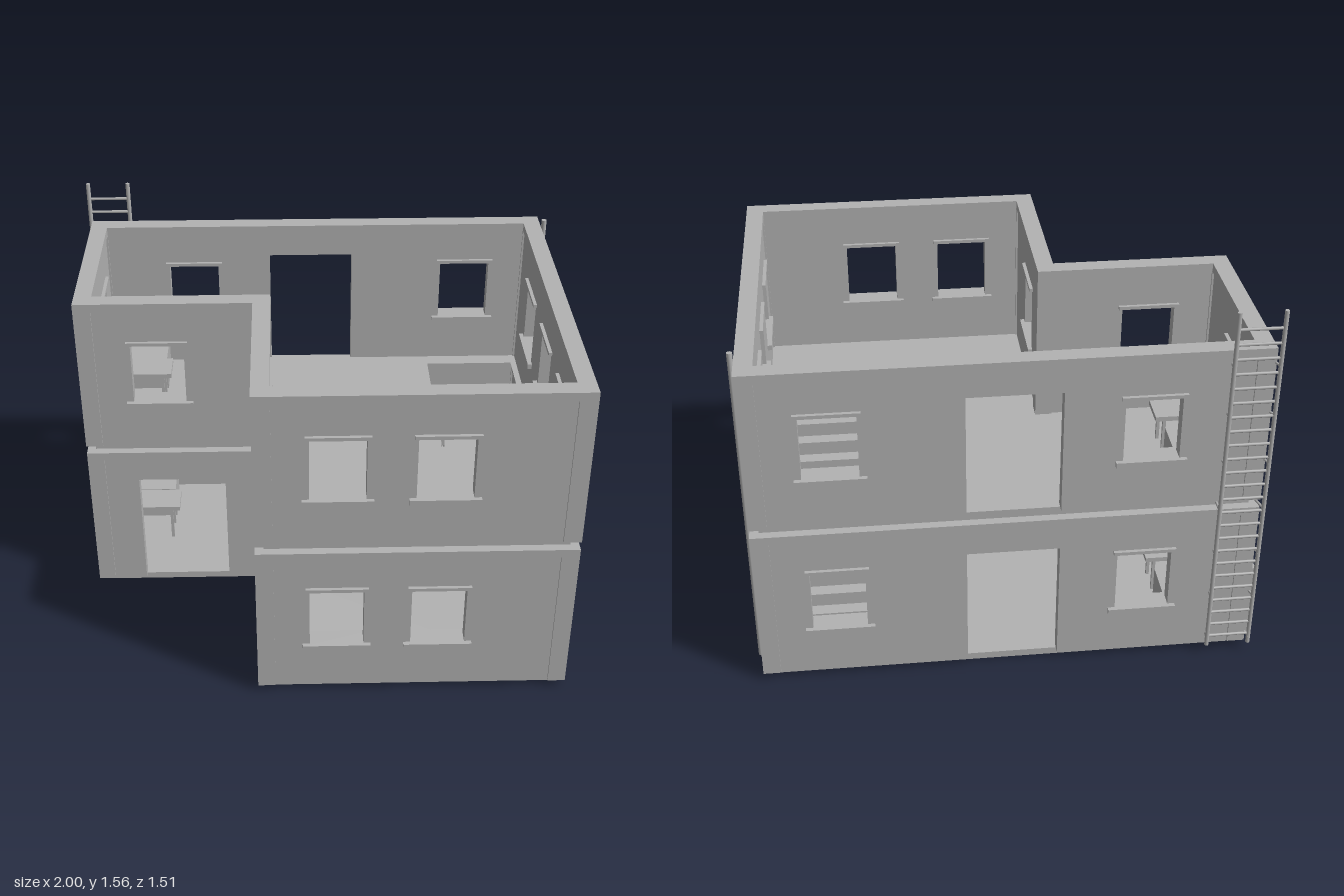
import * as THREE from 'three';

const WALL_H = 0.665, BAND_H = 0.035, THICK = 0.07, FLOOR_STEP = 0.7;
// Wall centre lines
const X0 = -0.935, X1 = 0.94, XN = -0.228, Z0 = -0.692, Z1 = 0.71, ZN = 0.01;

export function createModel() {
  const model = new THREE.Group();
  const grey = new THREE.MeshStandardMaterial({ color: 0xb3b3b3 });

  const add = (parent, name, geometry, x = 0, y = 0, z = 0) => {
    const mesh = new THREE.Mesh(geometry, grey);
    mesh.name = name;
    mesh.position.set(x, y, z);
    parent.add(mesh);
    return mesh;
  };
  // Box given by its minimum and maximum on each axis
  const box = (parent, name, xa, xb, ya, yb, za, zb) =>
    add(parent, name, new THREE.BoxGeometry(xb - xa, yb - ya, zb - za),
      (xa + xb) / 2, (ya + yb) / 2, (za + zb) / 2);
  // Round bar between two points
  const bar = (parent, name, a, b, radius, sides = 8) => {
    const from = new THREE.Vector3(...a), to = new THREE.Vector3(...b);
    const dir = to.clone().sub(from);
    const mesh = add(parent, name, new THREE.CylinderGeometry(radius, radius, dir.length(), sides));
    mesh.position.copy(from).lerp(to, 0.5);
    mesh.quaternion.setFromUnitVectors(new THREE.Vector3(0, 1, 0), dir.normalize());
  };
  const rectHole = (xa, xb, ya, yb) => new THREE.Path([
    new THREE.Vector2(xa, ya), new THREE.Vector2(xa, yb),
    new THREE.Vector2(xb, yb), new THREE.Vector2(xb, ya)]);

  // Floor slab, with an optional stairwell
  const slab = (parent, y, height, hasStairwell) => {
    const corners = [[X0, Z0], [X1, Z0], [X1, Z1], [XN, Z1], [XN, ZN], [X0, ZN]];
    const shape = new THREE.Shape(corners.map(([x, z]) => new THREE.Vector2(x, -z)));
    if (hasStairwell) shape.holes.push(rectHole(0.508, 0.888, -0.08, 0.6));
    const geometry = new THREE.ExtrudeGeometry(shape, { depth: height, bevelEnabled: false });
    geometry.rotateX(-Math.PI / 2);
    add(parent, 'floorSlab', geometry, 0, y, 0);
  };

  // Wall along x (or along z), with windows and an optional doorway
  const wall = (parent, name, alongZ, at, from, to, windows, door) => {
    const group = new THREE.Group();
    group.name = name;
    if (alongZ) {
      group.rotation.y = -Math.PI / 2;
      group.position.x = at;
    } else group.position.z = at;
    parent.add(group);

    const a = from + THICK / 2, b = to - THICK / 2, top = WALL_H - BAND_H;
    const shape = new THREE.Shape();
    shape.moveTo(a, 0);
    if (door) {
      shape.lineTo(door[0], 0);
      shape.lineTo(door[0], 0.522);
      shape.lineTo(door[1], 0.522);
      shape.lineTo(door[1], 0);
    }
    shape.lineTo(b, 0);
    shape.lineTo(b, top);
    shape.lineTo(a, top);
    for (const [l, r] of windows) shape.holes.push(rectHole(l, r, 0.21, 0.48));
    const panel = new THREE.ExtrudeGeometry(shape, { depth: 0.054, bevelEnabled: false });
    add(group, 'wallPanel', panel, 0, 0, -0.027);
    box(group, 'topBand', a, b, top, WALL_H, -THICK / 2, THICK / 2);
    for (const [l, r] of windows) {
      box(group, 'windowSill', l - 0.028, r + 0.028, 0.19, 0.212, -0.045, 0.045);
      box(group, 'windowLintel', l - 0.016, r + 0.016, 0.478, 0.492, -0.041, 0.041);
    }
  };

  // Desk and low cabinet
  const furniture = (parent) => {
    box(parent, 'deskTop', -0.86, -0.625, 0.155, 0.175, -0.375, -0.24);
    for (const x of [-0.85, -0.67])
      for (const z of [-0.365, -0.262]) box(parent, 'deskLeg', x, x + 0.013, 0, 0.155, z, z + 0.013);
    box(parent, 'cabinet', -0.86, -0.655, 0, 0.15, -0.6, -0.415);
  };

  // Two storeys
  for (const level of [0, 1]) {
    const storey = new THREE.Group();
    storey.name = level ? 'upperStorey' : 'groundStorey';
    storey.position.y = 0.03 + level * FLOOR_STEP;
    model.add(storey);
    slab(storey, level ? -0.035 : -0.03, level ? 0.035 : 0.03, level === 1);

    wall(storey, 'backWall', false, Z0, X0, X1, [[-0.64, -0.427], [0.552, 0.765]], [-0.2, 0.16]);
    wall(storey, 'frontWall', false, Z1, XN, X1, [[-0.055, 0.157], [0.342, 0.556]]);
    wall(storey, 'recessWall', false, ZN, X0, XN,
      level ? [[-0.757, -0.543]] : [], level ? null : [-0.763, -0.398]);
    wall(storey, 'rightWall', true, X0, Z0, ZN, [[-0.52, -0.303]]);
    wall(storey, 'leftWall', true, X1, Z0, Z1, [[-0.462, -0.25], [-0.063, 0.15], [0.333, 0.546]]);
    wall(storey, 'notchWall', true, XN, ZN, Z1, [[0.185, 0.4]]);
    for (const [x, z] of [[X0, Z0], [X1, Z0], [X1, Z1], [XN, Z1], [XN, ZN], [X0, ZN]])
      box(storey, 'cornerPost', x - 0.035, x + 0.035, 0, WALL_H, z - 0.035, z + 0.035);
    furniture(storey);
  }

  // Stairs rising towards the front
  const stairs = new THREE.Group();
  stairs.name = 'stairs';
  model.add(stairs);
  const run = 0.0535, rise = 0.0575, steps = 12, zs = -0.5745, ys = 0.03;
  const profile = new THREE.Shape();
  profile.moveTo(zs, ys);
  for (let i = 0; i < steps; i++) {
    profile.lineTo(zs + i * run, ys + (i + 1) * rise);
    profile.lineTo(zs + (i + 1) * run, ys + (i + 1) * rise);
  }
  profile.lineTo(zs + steps * run, ys + (steps - 1) * rise - 0.03);
  profile.lineTo(zs + 1.5 * run, ys);
  const flight = new THREE.ExtrudeGeometry(profile, { depth: 0.35, bevelEnabled: false });
  flight.rotateY(-Math.PI / 2);
  add(stairs, 'stairFlight', flight, 0.872, 0, 0);

  // Handrails and their posts
  const railY = (z) => 0.51 + (rise / run) * (z + 0.31);
  for (const x of [0.516, 0.879]) {
    bar(stairs, 'handrail', [x, railY(-0.59), -0.59], [x, railY(0.07), 0.07], 0.007);
    for (const z of [-0.573, -0.417, -0.26, -0.104, 0.053])
      box(stairs, 'railPost', x - 0.006, x + 0.006, Math.max(0.03, railY(z) - 0.18), railY(z),
        z - 0.006, z + 0.006);
  }

  // Outside ladder on the back wall
  const ladder = new THREE.Group();
  ladder.name = 'ladder';
  model.add(ladder);
  for (const x of [-0.978, -0.808]) {
    bar(ladder, 'ladderRail', [x, 0.04, -0.75], [x, 1.56, -0.75], 0.009);
    for (let i = 0; i < 7; i++) {
      const y = 0.075 + i * 0.21, inner = i === 3 ? -0.69 : -0.71;
      const wx = Math.max(x, -0.962);
      bar(ladder, 'ladderBracket', [x, y, -0.757], [wx, y, inner], 0.005, 6);
    }
  }
  for (let i = 0; i < 24; i++) {
    const y = 1.49 - i * 0.061;
    bar(ladder, 'ladderRung', [-0.978, y, -0.75], [-0.808, y, -0.75], 0.006, 6);
  }

  // Drainpipe and wall cabinet on the sides
  bar(model, 'drainpipe', [0.985, 0.04, -0.616], [0.985, 1.43, -0.616], 0.011, 12);
  box(model, 'utilityBox', -1, -0.955, 0.033, 0.36, -0.68, -0.497);

  return model;
}
